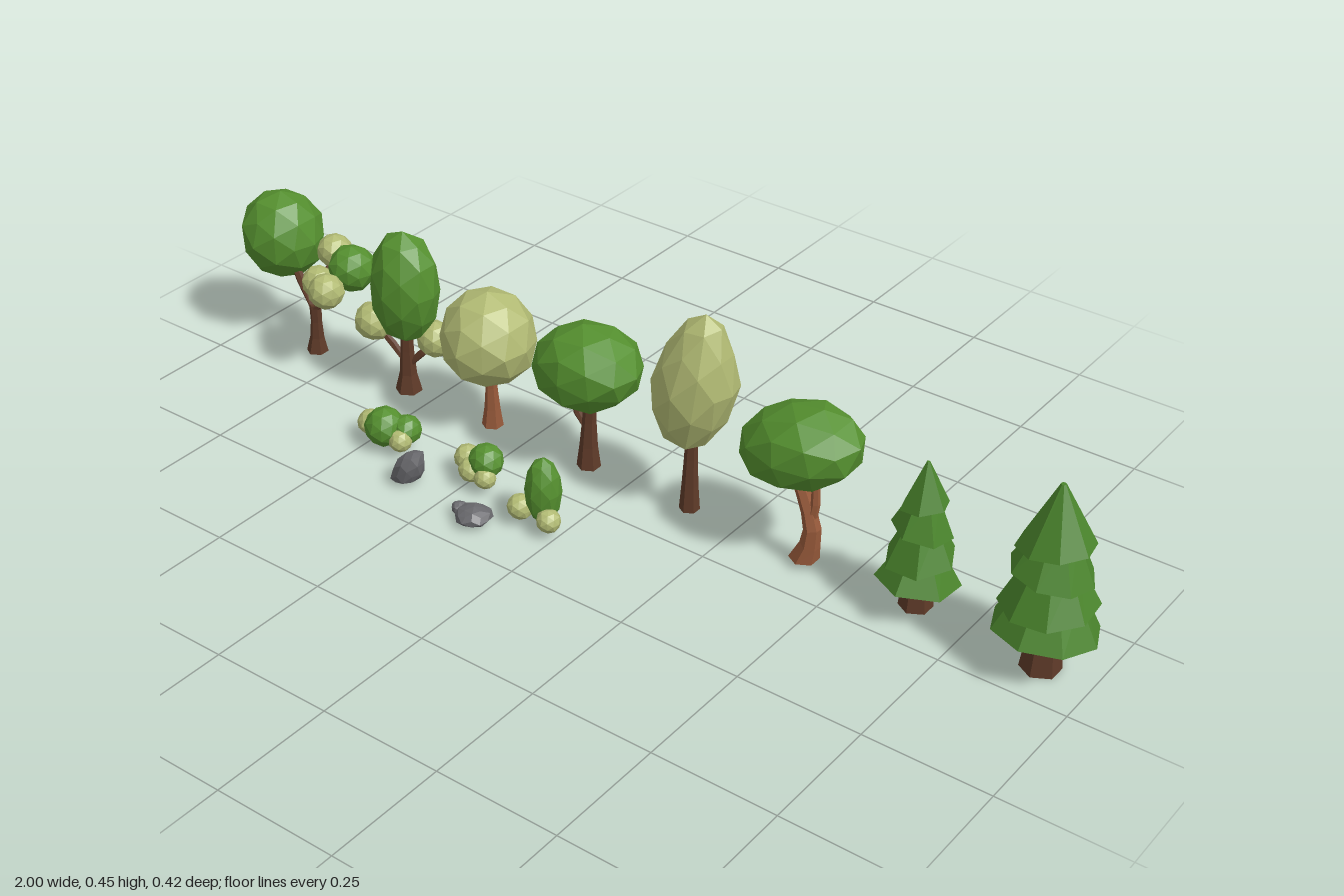
import * as THREE from 'three';

const mat = (color) => new THREE.MeshStandardMaterial({ color, flatShading: true, side: THREE.DoubleSide });
const GREEN = mat(0x55902f), LIGHT = mat(0xb2bb74), PINE = mat(0x4a842c);
const BARK = mat(0x5e3a28), WARM_BARK = mat(0x96593a), STONE = mat(0x6a6a6e);

// Repeatable noise from a position, so that shared corners stay together
function noise(v, seed) {
  const r = (n) => Math.round(n * 100) / 100 + 0;
  const s = Math.sin(r(v.x) * 12.99 + r(v.y) * 78.23 + r(v.z) * 37.72 + seed * 4.7) * 4375.85;
  return (s - Math.floor(s)) * 2 - 1;
}

function reshape(geometry, rule) {
  const p = geometry.attributes.position, v = new THREE.Vector3();
  for (let i = 0; i < p.count; i++) {
    v.fromBufferAttribute(p, i);
    rule(v);
    p.setXYZ(i, v.x, v.y, v.z);
  }
  geometry.computeVertexNormals();
  return geometry;
}

function addMesh(parent, name, geometry, material) {
  const mesh = new THREE.Mesh(geometry, material);
  mesh.name = name;
  parent.add(mesh);
  return mesh;
}

// Faceted leaf mass; taper narrows its top, lean moves the top sideways
function foliage(parent, material, [x, y, z], [rx, ry, rz], { tilt = 0, taper = 0, lean = 0 } = {}) {
  const geo = reshape(new THREE.IcosahedronGeometry(1, 1), (v) => {
    v.multiplyScalar(1 + 0.035 * noise(v, x));
    const k = 1 - taper * Math.max(v.y, 0);
    v.set(v.x * k + lean * v.y, v.y, v.z * k);
    v.set(v.x * rx, v.y * ry, v.z * rz);
  });
  const mesh = addMesh(parent, 'foliage', geo, material);
  mesh.position.set(x, y, z);
  mesh.rotation.z = tilt;
}

// Six-sided limb along a curve, with radii spread evenly over its length
function limb(parent, name, material, points, radii) {
  const curve = new THREE.CatmullRomCurve3(points.map((p) => new THREE.Vector3(...p)));
  const up = new THREE.Vector3(0, 1, 0), q = new THREE.Quaternion();
  const n = radii.length - 1;
  const geo = reshape(new THREE.CylinderGeometry(1, 1, 1, 6, n), (v) => {
    const t = THREE.MathUtils.clamp(v.y + 0.5, 0, 1);
    const r = radii[Math.round(t * n)];
    v.set(v.x * r, 0, v.z * r);
    if (t > 0) v.applyQuaternion(q.setFromUnitVectors(up, curve.getTangent(t)));
    v.add(curve.getPoint(t));
  });
  addMesh(parent, name, geo, material);
}

// Conifer: overlapping skirts [bottom, top, bottom radius, top radius] over a trunk
function conifer(parent, name, [x, y, z], sides, trunkRadius, skirts) {
  const tree = new THREE.Group();
  tree.name = name;
  tree.position.set(x, y, z);
  parent.add(tree);
  limb(tree, 'trunk', BARK, [[0, 0, 0], [0, 0.06, 0], [0, 0.13, 0]],
    [trunkRadius, trunkRadius * 0.8, trunkRadius * 0.7]);
  skirts.forEach(([bottom, top, r, rTop], i) => {
    const h = top - bottom;
    const geo = reshape(new THREE.CylinderGeometry(rTop, r, h, sides), (v) => {
      if (v.y > 0) return;
      // Hollow the underside and make the rim uneven
      if (Math.hypot(v.x, v.z) < 0.001) v.y += 0.025;
      else v.y += 0.009 * Math.sin(Math.atan2(v.z, v.x) + i * 2.1);
    });
    const mesh = addMesh(tree, 'branchSkirt', geo, PINE);
    mesh.position.y = (bottom + top) / 2;
    mesh.rotation.y = i * 0.45;
  });
}

function rock(parent, [x, y, z], [rx, h, rz], shear) {
  const geo = reshape(new THREE.IcosahedronGeometry(1, 1), (v) => {
    v.multiplyScalar(1 + 0.12 * noise(v, x));
    const t = Math.max(v.y + 0.35, 0) / 1.35;
    v.set((v.x + shear * t) * rx, t * h, v.z * rz);
  });
  addMesh(parent, 'rock', geo, STONE).position.set(x, y, z);
}

export function createModel() {
  const model = new THREE.Group();
  model.name = 'treesAndBushes';
  const group = (name) => {
    const g = new THREE.Group();
    g.name = name;
    model.add(g);
    return g;
  };
  const ball = (g, m, p, r, stretch = 1) => foliage(g, m, p, [r, r * stretch, r]);

  // Forked tree with one large and several small leaf masses
  const forked = group('forkedTree');
  limb(forked, 'trunk', BARK, [[-0.805, 0.018, -0.093], [-0.803, 0.07, -0.093], [-0.803, 0.13, -0.093]], [0.023, 0.015, 0.012, 0.013]);
  limb(forked, 'branch', BARK, [[-0.803, 0.12, -0.093], [-0.85, 0.165, -0.105], [-0.9, 0.22, -0.12]], [0.012, 0.01, 0.007]);
  limb(forked, 'branch', BARK, [[-0.803, 0.12, -0.093], [-0.765, 0.165, -0.1], [-0.73, 0.21, -0.12]], [0.012, 0.009, 0.006]);
  limb(forked, 'branch', BARK, [[-0.785, 0.14, -0.095], [-0.75, 0.175, -0.07], [-0.715, 0.21, -0.045]], [0.008, 0.006, 0.005]);
  limb(forked, 'branch', BARK, [[-0.81, 0.13, -0.1], [-0.815, 0.17, -0.13], [-0.805, 0.21, -0.16]], [0.008, 0.006, 0.005]);
  foliage(forked, GREEN, [-0.913, 0.248, -0.125], [0.088, 0.098, 0.087]);
  ball(forked, GREEN, [-0.722, 0.228, -0.125], 0.05);
  ball(forked, LIGHT, [-0.805, 0.225, -0.163], 0.037);
  ball(forked, LIGHT, [-0.767, 0.203, -0.072], 0.035);
  ball(forked, LIGHT, [-0.714, 0.215, -0.038], 0.038);

  // Tall oval tree with side tufts
  const oval = group('ovalTree');
  limb(oval, 'trunk', BARK, [[-0.55, 0.018, -0.093], [-0.55, 0.08, -0.093], [-0.55, 0.18, -0.093]], [0.028, 0.018, 0.014, 0.012]);
  limb(oval, 'branch', BARK, [[-0.55, 0.08, -0.093], [-0.585, 0.115, -0.09], [-0.625, 0.15, -0.085]], [0.009, 0.008, 0.006]);
  limb(oval, 'branch', BARK, [[-0.55, 0.075, -0.093], [-0.52, 0.11, -0.105], [-0.5, 0.14, -0.118]], [0.009, 0.008, 0.006]);
  foliage(oval, GREEN, [-0.548, 0.258, -0.093], [0.075, 0.122, 0.068]);
  ball(oval, LIGHT, [-0.628, 0.157, -0.083], 0.041);
  ball(oval, LIGHT, [-0.498, 0.143, -0.122], 0.038);

  // Round pale tree
  const round = group('roundTree');
  limb(round, 'trunk', WARM_BARK, [[-0.33, 0.018, -0.095], [-0.33, 0.08, -0.095], [-0.333, 0.16, -0.095]], [0.022, 0.016, 0.012, 0.012]);
  foliage(round, LIGHT, [-0.335, 0.217, -0.095], [0.096, 0.102, 0.097]);

  // Wide tree
  const wide = group('wideTree');
  limb(wide, 'trunk', BARK, [[-0.088, 0.018, -0.095], [-0.088, 0.09, -0.095], [-0.083, 0.19, -0.095]], [0.024, 0.018, 0.014, 0.012]);
  limb(wide, 'branch', BARK, [[-0.088, 0.1, -0.095], [-0.115, 0.13, -0.095], [-0.13, 0.18, -0.095]], [0.009, 0.008, 0.006]);
  foliage(wide, GREEN, [-0.094, 0.24, -0.098], [0.118, 0.086, 0.096], { tilt: 0.12 });

  // Tall egg-shaped pale tree
  const egg = group('eggTree');
  limb(egg, 'trunk', BARK, [[0.152, 0.018, -0.095], [0.152, 0.1, -0.095], [0.154, 0.2, -0.095]], [0.02, 0.016, 0.013, 0.012]);
  foliage(egg, LIGHT, [0.157, 0.3, -0.095], [0.084, 0.15, 0.077], { taper: 0.2, lean: 0.25 });

  // Tree with a bent trunk
  const bent = group('bentTree');
  limb(bent, 'trunk', WARM_BARK, [[0.41, 0.018, -0.095], [0.425, 0.075, -0.095], [0.408, 0.13, -0.1], [0.375, 0.19, -0.105]],
    [0.029, 0.02, 0.017, 0.015, 0.014, 0.012]);
  limb(bent, 'branch', WARM_BARK, [[0.42, 0.1, -0.097], [0.425, 0.14, -0.1], [0.42, 0.2, -0.105]], [0.01, 0.009, 0.007]);
  foliage(bent, GREEN, [0.383, 0.247, -0.108], [0.126, 0.084, 0.096], { tilt: 0.3 });

  // Conifers
  conifer(model, 'smallConifer', [0.647, 0.018, -0.095], 6, 0.032, [
    [0.055, 0.13, 0.078, 0.035], [0.105, 0.185, 0.067, 0.03],
    [0.165, 0.235, 0.056, 0.025], [0.215, 0.307, 0.045, 0.003]]);
  conifer(model, 'largeConifer', [0.9, 0.003, -0.092], 8, 0.038, [
    [0.085, 0.17, 0.098, 0.055], [0.142, 0.225, 0.088, 0.045],
    [0.205, 0.29, 0.076, 0.035], [0.26, 0.382, 0.069, 0.005]]);

  // Bushes
  const lowBush = group('lowBush');
  ball(lowBush, GREEN, [-0.46, 0.052, 0.08], 0.041);
  ball(lowBush, GREEN, [-0.42, 0.05, 0.06], 0.03);
  ball(lowBush, LIGHT, [-0.503, 0.042, 0.073], 0.027);
  ball(lowBush, LIGHT, [-0.415, 0.038, 0.085], 0.024);
  const mixedBush = group('mixedBush');
  ball(mixedBush, GREEN, [-0.215, 0.06, 0.062], 0.035);
  ball(mixedBush, LIGHT, [-0.268, 0.043, 0.055], 0.027);
  ball(mixedBush, LIGHT, [-0.238, 0.04, 0.08], 0.026);
  ball(mixedBush, LIGHT, [-0.2, 0.038, 0.085], 0.022);
  const tallBush = group('tallBush');
  ball(tallBush, GREEN, [-0.045, 0.083, 0.1], 0.036, 2);
  ball(tallBush, LIGHT, [-0.085, 0.04, 0.12], 0.026);
  ball(tallBush, LIGHT, [-0.015, 0.038, 0.122], 0.024);

  // Rocks
  const rocks = group('rocks');
  rock(rocks, [-0.35, 0.014, 0.145], [0.031, 0.066, 0.034], 0.8);
  rock(rocks, [-0.152, 0.014, 0.175], [0.033, 0.028, 0.034], 0);
  rock(rocks, [-0.192, 0.014, 0.17], [0.018, 0.018, 0.016], 0);
  return model;
}
